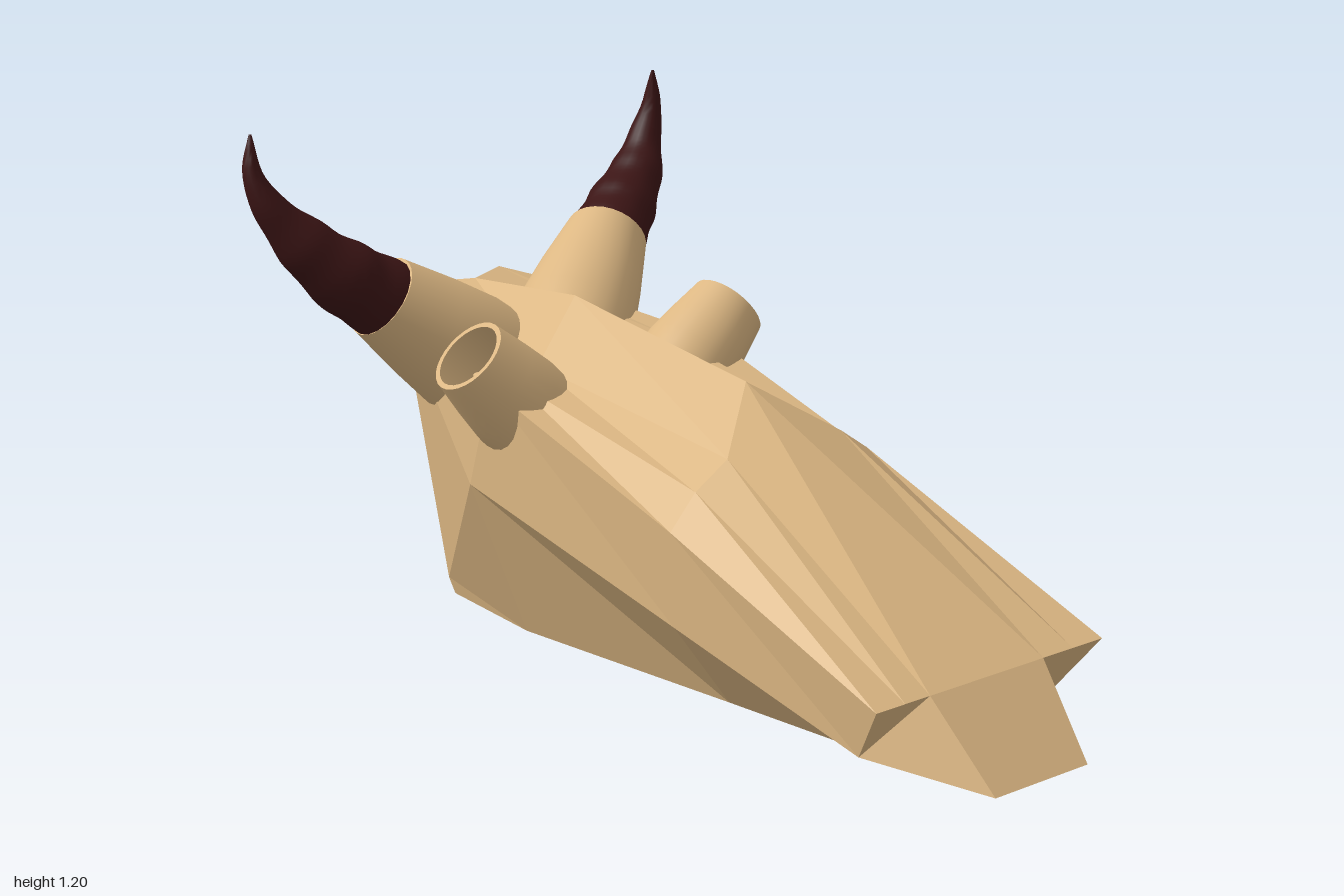
import * as THREE from 'three';
import { toCreasedNormals } from 'three/addons/utils/BufferGeometryUtils.js';

const bone = new THREE.MeshStandardMaterial({ color: 0xdcb783, side: THREE.DoubleSide });
const flatBone = new THREE.MeshStandardMaterial({ color: 0xdcb783, flatShading: true, side: THREE.DoubleSide });
const hornMat = new THREE.MeshStandardMaterial({ color: 0x3c1515 });

const V = (p) => new THREE.Vector3(...p);

function addMesh(parent, name, geometry, material) {
  const mesh = new THREE.Mesh(geometry, material);
  mesh.name = name;
  parent.add(mesh);
  return mesh;
}

// Cross-sections from back to snout. Each runs from the crown ridge down to
// the jaw edge as [x, y, z on the front side, z on the back side].
const sections = [
  [[-0.88, 0.75, -0.03, -0.03], [-0.97, 0.74, 0.08, -0.17], [-0.92, 0.72, 0.14, -0.23],
    [-0.87, 0.69, 0.19, -0.29], [-0.74, 0.08, 0.17, -0.25], [-0.73, 0.04, 0.16, -0.24]],
  [[-0.5, 0.78, -0.03, -0.03], [-0.45, 0.65, 0.12, -0.21], [-0.43, 0.64, 0.21, -0.29],
    [-0.42, 0.635, 0.28, -0.38], [-0.5, 0.39, 0.28, -0.38], [-0.5, 0, 0.125, -0.2]],
  [[0.09, 0.7, -0.03, -0.03], [0.2, 0.58, 0.12, -0.21], [0.2, 0.525, 0.21, -0.29],
    [0.2, 0.45, 0.28, -0.38], [0.2, 0.235, 0.27, -0.34], [0.2, 0.025, 0.113, -0.185]],
  [[0.83, 0.23, -0.03, -0.03], [0.83, 0.23, 0.13, -0.2], [0.83, 0.23, 0.2, -0.29],
    [0.83, 0.23, 0.28, -0.38], [0.76, 0.11, 0.26, -0.3], [0.99, 0.05, 0.1, -0.17]],
];

function skullGeometry() {
  const out = [];
  const at = (s, i, side) => {
    const p = sections[s][i];
    return [p[0], p[1], side > 0 ? p[2] : p[3]];
  };
  const tri = (a, b, c, keep) => out.push(...a, ...(keep ? b : c), ...(keep ? c : b));
  const end = sections.length - 1;
  const low = sections[0].length - 1;

  for (const side of [1, -1]) {
    // walls between neighbouring sections
    for (let s = 0; s < end; s++) {
      for (let i = 0; i < low; i++) {
        const a = at(s, i, side), b = at(s, i + 1, side);
        const c = at(s + 1, i + 1, side), d = at(s + 1, i, side);
        tri(a, b, c, side > 0);
        tri(a, c, d, side > 0);
      }
    }
    // back of the head and sides of the snout
    for (let i = 1; i < low; i++) {
      tri(at(0, 0, side), at(0, i, side), at(0, i + 1, side), side < 0);
      tri(at(end, 1, side), at(end, i, side), at(end, i + 1, side), side > 0);
    }
  }
  // underside, middle of the back, snout tip
  for (let s = 0; s < end; s++) {
    const a = at(s, low, 1), b = at(s, low, -1), c = at(s + 1, low, -1), d = at(s + 1, low, 1);
    tri(a, b, c, true);
    tri(a, c, d, true);
  }
  tri(at(0, 0, 1), at(0, low, -1), at(0, low, 1), true);
  tri(at(end, 1, 1), at(end, low, 1), at(end, low, -1), true);
  tri(at(end, 1, 1), at(end, low, -1), at(end, 1, -1), true);

  const g = new THREE.BufferGeometry();
  g.setAttribute('position', new THREE.Float32BufferAttribute(out, 3));
  g.computeVertexNormals();
  return g;
}

// Hollow tapering bone collar running from one point to another
function collar(parent, name, from, to, r0, r1) {
  const a = V(from), axis = V(to).sub(a), L = axis.length();
  const profile = [
    [r0, 0], [r0, L * 0.25], [r0 + (r1 - r0) * 0.4, L * 0.6], [r1, L],
    [r1 * 0.87, L], [r1 * 0.87, L * 0.45], [0, L * 0.45],
  ].map(([x, y]) => new THREE.Vector2(x, y));
  const mesh = addMesh(parent, name, toCreasedNormals(new THREE.LatheGeometry(profile, 28), 0.6), bone);
  mesh.position.copy(a);
  mesh.quaternion.setFromUnitVectors(new THREE.Vector3(0, 1, 0), axis.normalize());
}

// Curved horn: a tube whose rings are scaled to a tapering radius
function horn(parent, name, path) {
  const radii = [0.094, 0.092, 0.086, 0.075, 0.063, 0.047, 0.032, 0.02, 0.003];
  const curve = new THREE.CatmullRomCurve3(path.map(V));
  const steps = 32, sides = 20;
  const g = new THREE.TubeGeometry(curve, steps, 1, sides);
  const pos = g.attributes.position, v = new THREE.Vector3();
  for (let i = 0; i <= steps; i++) {
    const t = i / steps, c = curve.getPointAt(t), f = t * (radii.length - 1);
    const k = Math.min(Math.floor(f), radii.length - 2);
    // faint growth rings
    const r = THREE.MathUtils.lerp(radii[k], radii[k + 1], f - k) * (1 + 0.03 * Math.sin(t * 28));
    for (let j = 0; j <= sides; j++) {
      const n = i * (sides + 1) + j;
      v.fromBufferAttribute(pos, n).sub(c).multiplyScalar(r).add(c);
      pos.setXYZ(n, v.x, v.y, v.z);
    }
  }
  addMesh(parent, name, toCreasedNormals(g, 0.9), hornMat);
}

export function createModel() {
  const model = new THREE.Group();
  model.name = 'hornedSkull';
  addMesh(model, 'skull', skullGeometry(), flatBone);

  // horn cores
  collar(model, 'frontHornCore', [-0.7, 0.585, 0.07], [-0.735, 0.795, 0.345], 0.145, 0.1);
  collar(model, 'backHornCore', [-0.68, 0.6, -0.14], [-0.85, 0.8, -0.41], 0.145, 0.1);

  // short hollow stubs
  collar(model, 'frontStub', [-0.41, 0.55, 0.17], [-0.43, 0.715, 0.33], 0.118, 0.092);
  collar(model, 'backStub', [-0.405, 0.57, -0.255], [-0.425, 0.7, -0.43], 0.115, 0.092);

  // horns
  horn(model, 'frontHorn', [
    [-0.732, 0.775, 0.32], [-0.74, 0.87, 0.46], [-0.765, 0.96, 0.55],
    [-0.785, 1.04, 0.61], [-0.8, 1.11, 0.635], [-0.81, 1.195, 0.63],
  ]);
  horn(model, 'backHorn', [
    [-0.835, 0.785, -0.39], [-0.895, 0.86, -0.5], [-0.93, 0.93, -0.575],
    [-0.95, 1.0, -0.615], [-0.95, 1.08, -0.638], [-0.94, 1.17, -0.635],
  ]);
  return model;
}
